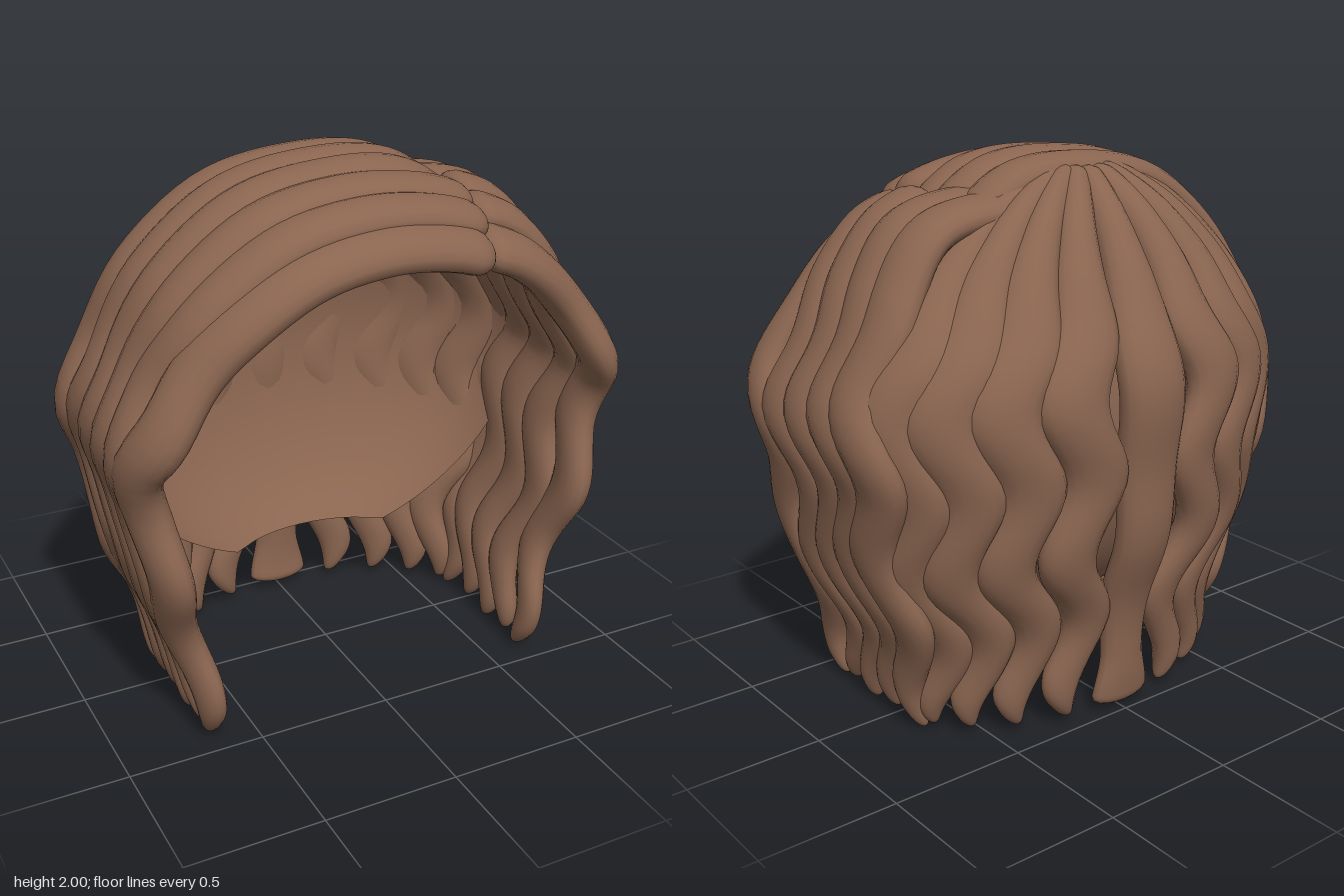
import * as THREE from 'three';

const V = (x, y, z) => new THREE.Vector3(x, y, z);
const lerp = THREE.MathUtils.lerp;

// smooth lookup in a list of [key, value] with rising keys
function lookup(list, k) {
  if (k <= list[0][0]) return list[0][1];
  for (let i = 1; i < list.length; i++) {
    const [a, va] = list[i - 1], [b, vb] = list[i];
    if (k <= b) return lerp(va, vb, THREE.MathUtils.smoothstep(k, a, b));
  }
  return list[list.length - 1][1];
}

// grid of vertices to smooth geometry; rows are rings when closed
function gridGeometry(rows, closed) {
  const n = rows[0].length, pos = [], idx = [];
  rows.forEach(r => r.forEach(p => pos.push(p.x, p.y, p.z)));
  for (let i = 0; i < rows.length - 1; i++) {
    for (let j = 0; j < (closed ? n : n - 1); j++) {
      const k = (j + 1) % n;
      const a = i * n + j, b = i * n + k, c = a + n, d = b + n;
      idx.push(a, b, c, b, d, c);
    }
  }
  const g = new THREE.BufferGeometry();
  g.setAttribute('position', new THREE.Float32BufferAttribute(pos, 3));
  g.setIndex(idx);
  g.computeVertexNormals();
  return g;
}

// inner cap: half-open ellipsoid, arches from ear to ear, cut level at the nape
function capGeometry() {
  const rx = 0.85, ry = 0.775, rz = 0.53, drop = 0.7, rows = [];
  for (let i = 0; i <= 48; i++) {
    const row = [];
    for (let j = 0; j <= 48; j++) {
      const a = lerp(0.02, Math.PI - 0.02, j / 48), s = Math.sin(a);
      // angle from straight back: negative towards the forehead, positive down to the nape
      const lowest = Math.asin(Math.min(0.97, drop / (ry * s)));
      const f = Math.min(lerp(-2.13, 1.326, i / 48), lowest);
      row.push(V(rx * Math.cos(a), 1.1 - ry * Math.sin(f) * s, -rz * Math.cos(f) * s));
    }
    rows.push(row);
  }
  return gridGeometry(rows, false);
}

// wavy flattened lock swept along points lying on the head
function lockGeometry(points, { widths, side, wave, phase, zWeight, thick, tip = 0.06 }) {
  const curve = new THREE.CatmullRomCurve3(points, false, 'centripetal');
  const steps = 72, sides = 16, rows = [];
  for (let i = 0; i <= steps; i++) {
    const s = i / steps;
    const t = lerp(s, (1 - Math.cos(Math.PI * s)) / 2, 0.85);
    const p = curve.getPointAt(t), T = curve.getTangentAt(t);
    const N = V(p.x, Math.max(p.y - 1.05, 0), p.z * zWeight);
    N.addScaledVector(T, -N.dot(T)).normalize();
    const B = N.clone().cross(T);
    // waves run sideways and slightly in and out below the crown
    const fade = 1 - THREE.MathUtils.smoothstep(p.y, 1.2, 1.7);
    const c = Math.cos((p.y - 0.72 + phase) / 0.56 * Math.PI * 2) * fade;
    const w0 = lookup(widths, p.y);
    p.addScaledVector(B, -side * wave * c).addScaledVector(N, 0.012 * c);
    // rounded ends
    const round = (d, r) => (d >= r ? 1 : Math.sqrt(Math.max(0, 1 - (1 - d / r) ** 2)));
    const e = round(t, 0.035) * round(1 - t, tip);
    const w = w0 * e;
    const h = lookup([[0.1, thick * 0.65], [0.6, thick * 0.9], [1.1, thick], [1.5, thick], [1.8, thick * 0.9]], p.y) * e;
    const ring = [];
    for (let j = 0; j < sides; j++) {
      const a = j / sides * Math.PI * 2;
      ring.push(p.clone().addScaledVector(B, Math.cos(a) * w).addScaledVector(N, Math.sin(a) * h));
    }
    rows.push(ring);
  }
  return gridGeometry(rows, true);
}

export function createModel() {
  const model = new THREE.Group();
  model.name = 'wavyHair';
  const brown = new THREE.MeshStandardMaterial({ color: 0x8a6550, side: THREE.DoubleSide });
  brown.name = 'brown hair';
  const add = (name, geometry) => {
    const m = new THREE.Mesh(geometry, brown);
    m.name = name;
    model.add(m);
  };

  add('innerCap', capGeometry());

  // side locks: combed from the parting over the head and down past the ears
  const fall = [[0.79, 1.34], [0.89, 1.14], [0.85, 0.93], [0.81, 0.73], [0.77, 0.53], [0.69, 0.28], [0.65, 0.01]];
  const sideLocks = [
    {
      side: -1, name: 'right', arch: [[-0.32, 1.71], [-0.15, 1.76], [0.08, 1.78], [0.35, 1.73], [0.6, 1.57], ...fall],
      topZ: [0.58, 0.47, 0.34, 0.2, 0.07, -0.07], earZ: [0.45, 0.31, 0.18, 0.05, -0.09, -0.22],
      lift: [0, 0.08, 0.125, 0.15, 0.16, 0.15], width: 0.105,
    },
    {
      side: 1, name: 'left', arch: [[0.31, 1.72], [0.46, 1.66], [0.62, 1.54], ...fall],
      topZ: [0.5, 0.34, 0.18, 0.03, -0.1], earZ: [0.43, 0.26, 0.1, -0.06, -0.2],
      lift: [0.01, 0.1, 0.14, 0.15, 0.14], width: 0.118,
    },
  ];
  for (const { side, name, arch, topZ, earZ, lift, width } of sideLocks) {
    topZ.forEach((zTop, k) => {
      const endZ = lerp(0.38, -0.14, k / (topZ.length - 1));
      const pts = arch.map(([x, y], i) => {
        // locks further back sit higher on the dome
        const up = THREE.MathUtils.clamp((y - 1.1) / 0.55, 0, 1);
        const out = V(x, y - 1.05, 0).normalize().multiplyScalar(lift[k] * up * up);
        const z = y > 1.1 ? lerp(earZ[k], zTop, up) : lerp(endZ, earZ[k], y / 1.1);
        // the rear roots sink under their neighbours
        const sink = i === 0 && k > 2 ? 1 : 0;
        const tuck = side > 0 ? 0.2 * sink : 0;
        return V(side * (x + out.x - tuck), y + out.y - (side > 0 ? 0.01 : 0.07) * sink + 0.02 * (k % 2) * (y < 0.2), z);
      });
      add(`${name}SideLock${k + 1}`, lockGeometry(pts, {
        widths: [[0.02, 0.05], [0.3, 0.085], [0.7, width - 0.005], [1.2, width], [1.75, width - 0.005]],
        side, phase: 0.04 * ((k * 3) % 4), zWeight: k === 0 ? 0.6 : 0.4, thick: 0.07, wave: 0.042,
      }));
    });
  }

  // back locks: fan out from the crown and hang to the neck
  const backProfile = [[0.1, 1.9], [0.3, 1.84], [0.52, 1.74], [0.79, 1.55], [0.95, 1.36], [1, 1.17], [0.98, 0.93],
    [0.93, 0.72], [0.84, 0.5], [0.77, 0.25], [0.75, 0.03]];
  [0, 18, 34, 49, 63].forEach((deg, k) => {
    const a = THREE.MathUtils.degToRad(deg);
    for (const side of k === 0 ? [1] : [-1, 1]) {
      const pts = backProfile.map(([f, y], i) => {
        const shift = -0.08 * Math.max(0, 1 - i / 4);
        return V(side * 0.89 * f * Math.sin(a) + shift, y + 0.02 * (y > 1.6), -0.6 * f * Math.cos(a) - 0.06 * Math.max(0, 1 - i / 3));
      });
      const name = k === 0 ? 'centreBackLock' : `${side < 0 ? 'right' : 'left'}BackLock${k}`;
      add(name, lockGeometry(pts, {
        widths: k === 0
          ? [[0.05, 0.125], [0.25, 0.09], [0.6, 0.115], [1.3, 0.135], [1.9, 0.06]]
          : [[0.03, 0.05], [0.25, 0.08], [0.6, 0.105], [1.3, 0.135], [1.9, 0.06]],
        side, phase: 0.02 * k, zWeight: 1.8, wave: k === 0 ? 0 : 0.05, thick: 0.075, tip: k === 0 ? 0.02 : 0.06,
      }));
    }
  });

  return model;
}
